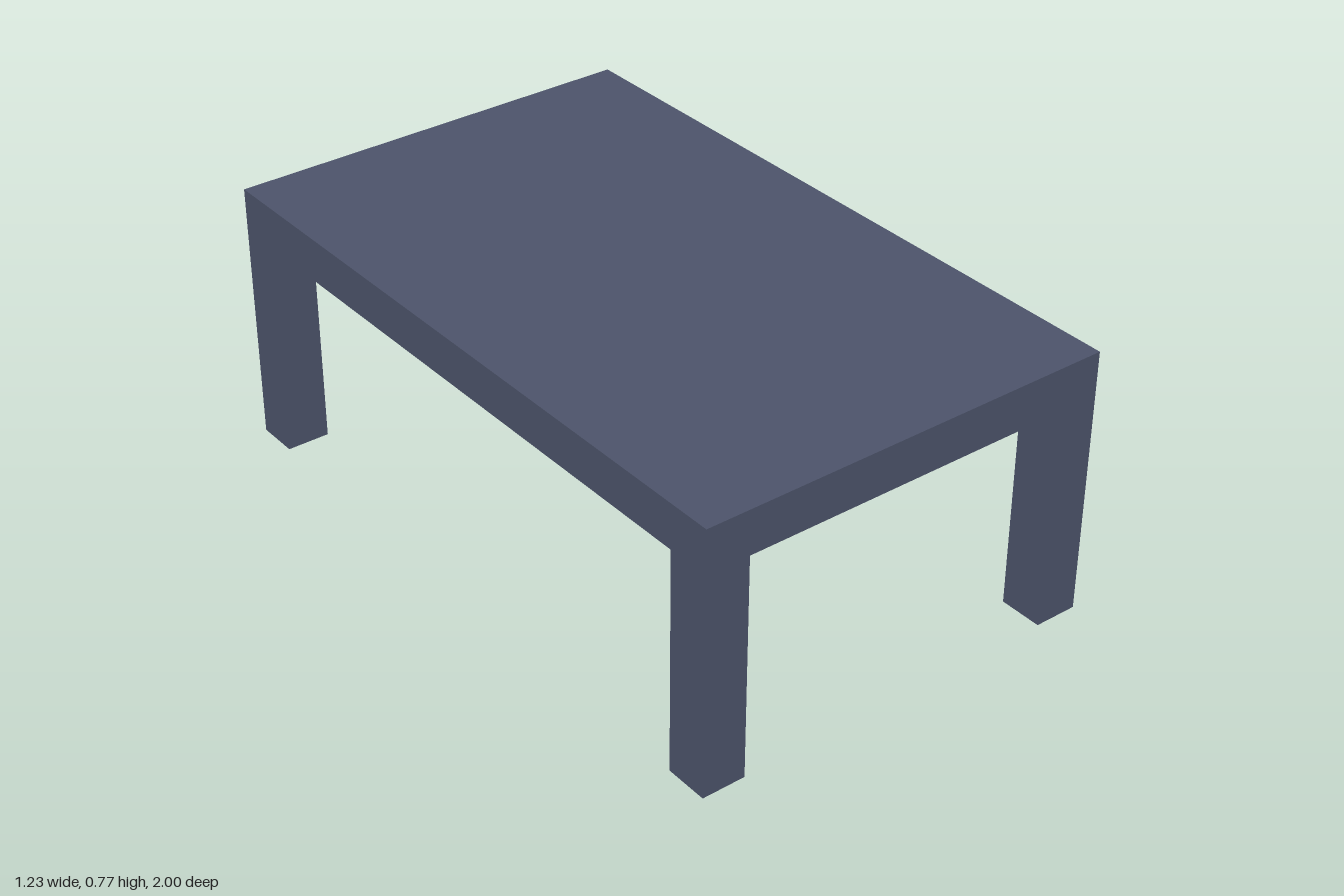
import * as THREE from 'three';

const WIDTH = 1.225, DEPTH = 2, HEIGHT = 0.775, THICK = 0.127;

export function createModel() {
  const table = new THREE.Group();
  table.name = 'table';

  const slate = new THREE.MeshStandardMaterial({ color: 0x4d546b });
  slate.name = 'slate blue';

  function addBox(name, w, h, d, x, y, z) {
    const mesh = new THREE.Mesh(new THREE.BoxGeometry(w, h, d), slate);
    mesh.name = name;
    mesh.position.set(x, y, z);
    table.add(mesh);
  }

  // Solid slab top
  addBox('tabletop', WIDTH, THICK, DEPTH, 0, HEIGHT - THICK / 2, 0);

  // Square legs, flush with the corners of the top
  const legHeight = HEIGHT - THICK;
  for (const [side, sx] of [['Left', 1], ['Right', -1]]) {
    for (const [end, sz] of [['front', 1], ['back', -1]]) {
      addBox(`${end}${side}Leg`, THICK, legHeight, THICK,
        sx * (WIDTH - THICK) / 2, legHeight / 2, sz * (DEPTH - THICK) / 2);
    }
  }

  return table;
}
